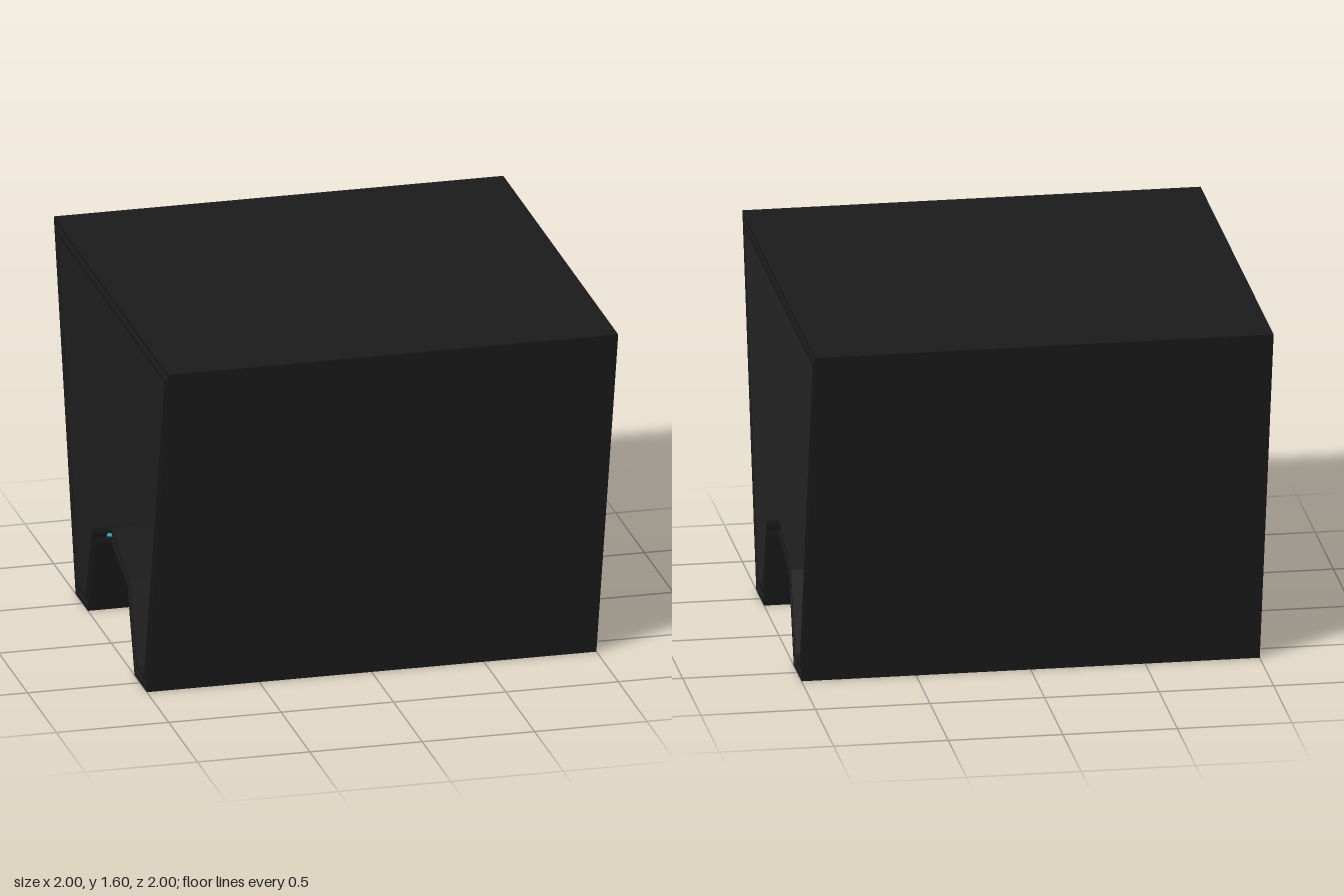
import * as THREE from 'three';

// Outer outline of the cross-section, counter-clockwise, mirrored about the centre
const half = [[0, 0.46], [0.282, 0.36], [0.405, 0], [0.62, 0], [1, 1.6]];
const outline = [
  ...half,
  ...half.slice(1).reverse().map(([u, v]) => [-u, v]),
].map(([u, v]) => new THREE.Vector2(u, v));

// Moves every edge of the outline inwards by d, with mitred corners
function inset(points, d) {
  const n = points.length;
  const normal = (a, b) => new THREE.Vector2(a.y - b.y, b.x - a.x).normalize();
  return points.map((p, i) => {
    const n1 = normal(points[(i + n - 1) % n], p);
    const n2 = normal(p, points[(i + 1) % n]);
    return n1.clone().add(n2).multiplyScalar(d / (1 + n1.dot(n2))).add(p);
  });
}

// Closed band between two inset depths, extruded along x
function band(name, from, to, length, material) {
  const shape = new THREE.Shape(inset(outline, from));
  shape.holes.push(new THREE.Path(inset(outline, to)));
  const geometry = new THREE.ExtrudeGeometry(shape, { depth: length, bevelEnabled: false });
  geometry.translate(0, 0, -length / 2);
  geometry.rotateY(Math.PI / 2);
  const mesh = new THREE.Mesh(geometry, material);
  mesh.name = name;
  return mesh;
}

export function createModel() {
  const dark = new THREE.MeshStandardMaterial({ color: 0x1a1a1a });
  const cyan = new THREE.MeshStandardMaterial({ color: 0x30c8c8 });
  const group = new THREE.Group();
  group.name = 'housingSleeve';

  // Two dark skins with a coloured strip recessed in the groove between them
  group.add(
    band('outerSkin', 0, 0.02, 2, dark),
    band('lightStrip', 0.02, 0.044, 1.87, cyan),
    band('innerSkin', 0.044, 0.064, 2, dark),
  );
  return group;
}
